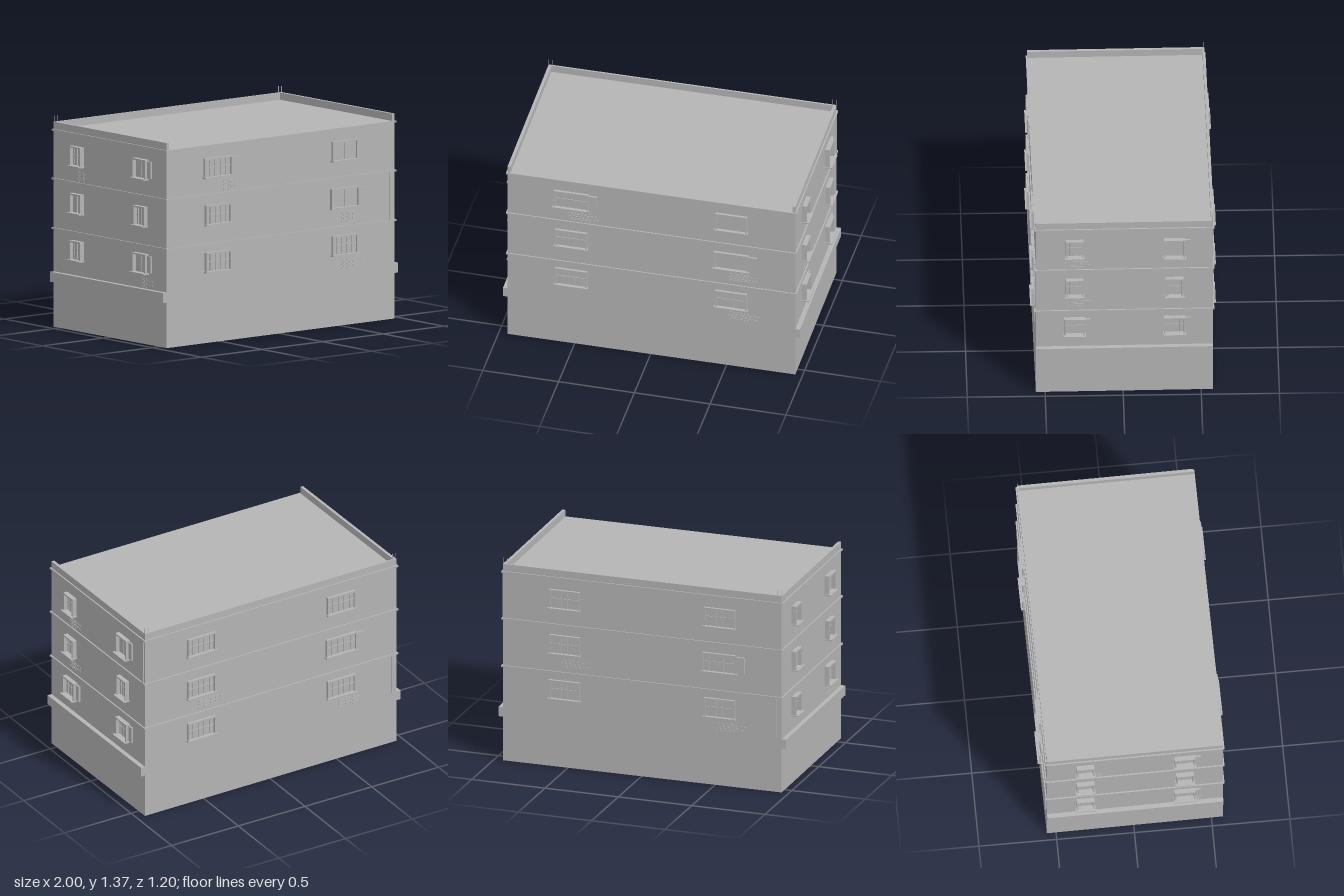
import * as THREE from 'three';

const W = 1.895, D = 1.136, ROOF = 1.28, TOP = 1.33;

export function createModel() {
  const model = new THREE.Group();
  model.name = 'building';
  const grey = new THREE.MeshStandardMaterial({ color: 0xb4b4b4 });
  grey.name = 'concrete grey';

  // Box from its centre x and z, and bottom y
  function box(parent, name, w, h, d, x, y, z) {
    const mesh = new THREE.Mesh(new THREE.BoxGeometry(w, h, d), grey);
    mesh.name = name;
    mesh.position.set(x, y + h / 2, z);
    parent.add(mesh);
  }

  // Main block and floor mouldings
  box(model, 'walls', W, ROOF, D, 0, 0, 0);
  for (const y of [0.634, 0.955, 1.272]) {
    box(model, 'floorMoulding', W + 0.018, 0.011, D + 0.016, 0, y, 0);
  }

  // Plinth ledge and parapet on the short sides, thin rods at the back corners
  for (const s of [-1, 1]) {
    box(model, 'plinthLedge', 0.03, 0.065, D - 0.002, s * (W / 2 + 0.015), 0.295, 0);
    box(model, 'sideParapet', 0.02, TOP - ROOF, D, s * (W / 2 - 0.01), ROOF, 0);
    for (const inset of [0.002, 0.027]) {
      box(model, 'cornerRod', 0.003, 0.04, 0.003, s * (W / 2 - inset), TOP, -D / 2 + 0.004);
    }
  }
  box(model, 'backParapet', W - 0.04, TOP - ROOF, 0.012, 0, ROOF, -D / 2 + 0.006);

  // Window with frame, bars and sill; an open one has a sash slid to the right
  function addWindow(face, sillDepth, x, y, w, h, bars, openWidth) {
    const g = new THREE.Group();
    g.name = 'window';
    g.position.set(x, y, 0);
    face.add(g);
    const t = 0.01, d = sillDepth * 0.65;
    box(g, 'glass', w - t, h - t, 0.004, 0, t / 2, 0.002);
    for (const s of [-1, 1]) box(g, 'frameSide', t, h, d, (s * (w - t)) / 2, 0, d / 2);
    box(g, 'frameTop', w - 2 * t, t, d, 0, h - t, d / 2);
    box(g, 'sill', w + 0.012, 0.009, sillDepth, 0, -0.002, sillDepth / 2);
    for (let i = 1; i <= bars; i++) {
      box(g, 'verticalBar', 0.005, h - 2 * t, 0.008, -w / 2 + (w * i) / (bars + 1), t, 0.006);
    }
    if (bars > 1) box(g, 'crossBar', w - 2 * t, 0.005, 0.007, 0, h * 0.52, 0.006);
    if (openWidth) box(g, 'openSash', openWidth, h - 0.02, 0.012, (w + openWidth) / 2, 0.01, 0.006);
  }

  // Patch of exposed bricks in staggered rows of uneven length
  function addBricks(face, x, y, w) {
    const length = 0.034, height = 0.01, gap = 0.003;
    for (let row = 0; row < 5; row++) {
      const from = x + (row % 2) * length * 0.5;
      const count = Math.round((w * (row % 2 ? 0.95 : 0.65)) / (length + gap));
      for (let i = 0; i < count; i++) {
        box(face, 'brick', length, height, 0.004,
          from + length / 2 + i * (length + gap), y + row * (height + gap), 0.001);
      }
    }
  }

  // One wall: each column lists its windows from the lowest floor up
  function addFace(name, turn, isLong, columnX, columns) {
    const face = new THREE.Group();
    face.name = name;
    face.rotation.y = turn;
    face.translateZ((isLong ? D : W) / 2);
    model.add(face);
    columns.forEach((column, side) => column.forEach((style, floor) => {
      const open = style.includes('open'), tall = style.includes('tall') ? 0.012 : 0;
      const x = (side ? 1 : -1) * columnX;
      const y = 0.457 + floor * 0.306;
      const w = (isLong ? 0.21 : 0.113) + (open ? 0.02 : 0);
      const bars = style.includes('double') ? 1 : isLong ? 4 : 3;
      addWindow(face, isLong ? 0.027 : 0.047, x, y - tall, w, 0.13 + tall, bars,
        open ? (isLong ? 0.055 : 0.035) : 0);
      if (style.includes('bricks')) addBricks(face, x - 0.02, y - 0.092, isLong ? 0.2 : 0.13);
    }));
    return face;
  }

  const front = addFace('frontFace', 0, true, 0.527, [
    ['grid', 'grid', 'grid open bricks'],
    ['grid bricks', 'double open bricks', 'double'],
  ]);
  const left = addFace('leftFace', Math.PI / 2, false, 0.32, [
    ['grid open', 'grid bricks', 'grid bricks'],
    ['grid open', 'grid tall', 'double open tall'],
  ]);
  const back = addFace('backFace', Math.PI, true, 0.527, [
    ['grid', 'grid bricks', 'grid'],
    ['grid bricks', 'grid open', 'grid'],
  ]);
  addFace('rightFace', -Math.PI / 2, false, 0.32, [
    ['grid', 'double', 'grid bricks'],
    ['double open bricks', 'grid', 'double open'],
  ]);

  // Short drainpipes between mouldings
  box(front, 'drainpipe', 0.01, 0.31, 0.008, 0.905, 0.645, 0.004);
  box(left, 'drainpipe', 0.01, 0.306, 0.008, 0.55, 0.966, 0.004);
  box(back, 'drainpipe', 0.01, 0.269, 0.008, 0.91, 0.365, 0.004);

  // The block stands very slightly turned
  model.rotation.y = 0.009;
  const root = new THREE.Group();
  root.name = 'apartmentBlock';
  root.add(model);
  return root;
}
